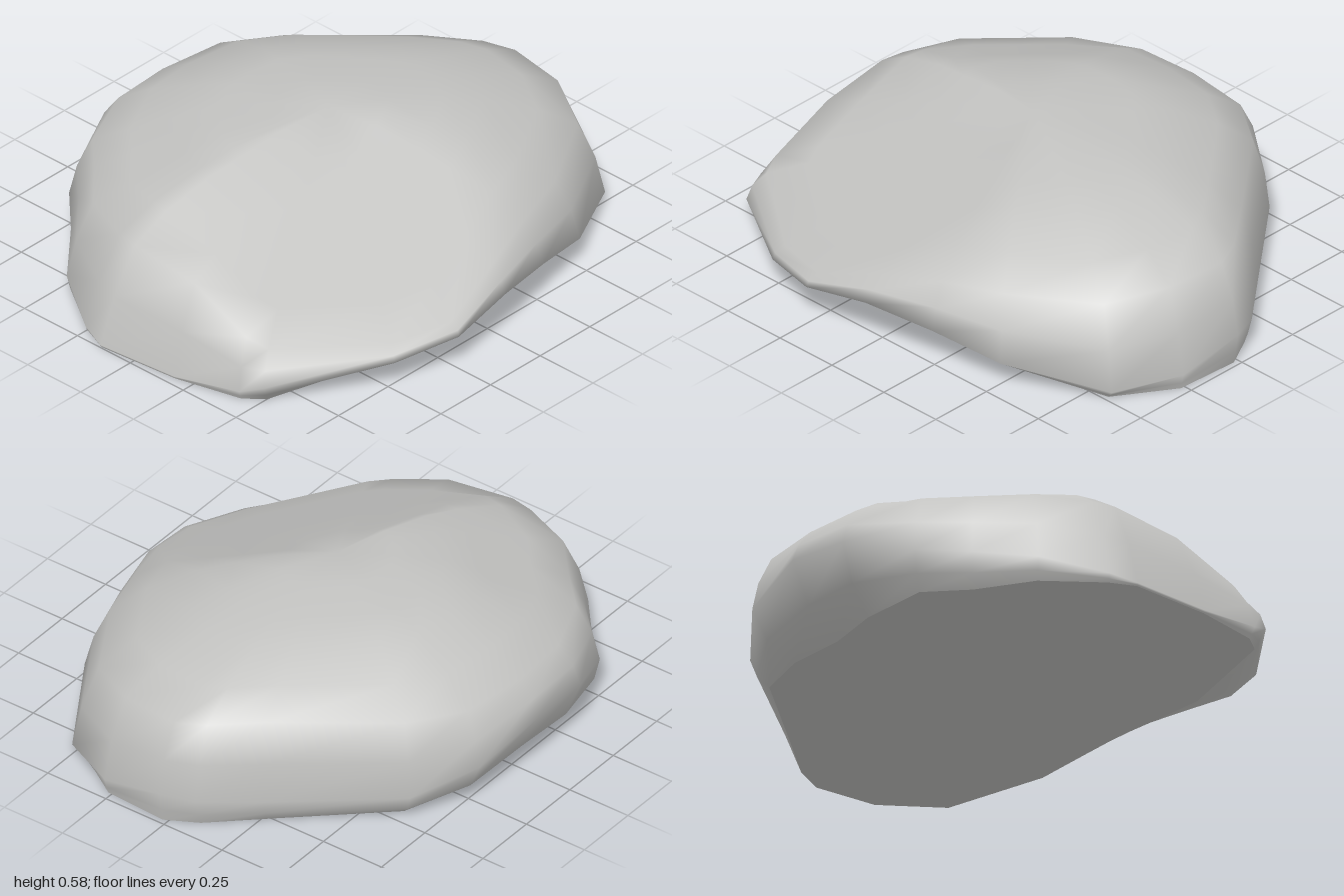
import * as THREE from 'three';

// Stations round the stone, from +x towards +z:
// [rim x, rim z, rim y, base scale, shoulder scale, shoulder y]
const FRONT = [
  [1.0, 0.02, 0.12, 0.98, 0.92, 0.38],
  [0.98, 0.27, 0.06, 0.985, 0.91, 0.37],
  [0.86, 0.5, 0.04, 0.96, 0.9, 0.34],
  [0.52, 0.7, 0.1, 0.83, 0.9, 0.33],
  [0.26, 0.77, 0.15, 0.75, 0.91, 0.31],
  [0, 0.835, 0.18, 0.69, 0.92, 0.28],
  [-0.26, 0.86, 0.14, 0.69, 0.95, 0.24],
  [-0.5, 0.78, 0.11, 0.78, 0.95, 0.23],
  [-0.88, 0.52, 0.07, 0.96, 0.93, 0.24],
  [-0.92, 0.44, 0.04, 0.98, 0.92, 0.26],
  [-0.97, 0.18, 0.01, 0.995, 0.87, 0.34],
];
const BACK = [
  [-1.0, -0.14, 0.01, 0.995, 0.85, 0.36],
  [-0.97, -0.24, 0.03, 0.985, 0.86, 0.36],
  [-0.84, -0.45, 0.08, 0.97, 0.9, 0.36],
  [-0.66, -0.6, 0.12, 0.94, 0.91, 0.37],
  [-0.52, -0.74, 0.14, 0.94, 0.91, 0.37],
  [-0.26, -0.85, 0.23, 0.83, 0.91, 0.38],
  [0, -0.865, 0.25, 0.77, 0.91, 0.38],
  [0.28, -0.82, 0.18, 0.82, 0.92, 0.38],
  [0.48, -0.67, 0.1, 0.92, 0.93, 0.38],
  [0.8, -0.28, 0.1, 0.95, 0.93, 0.4],
  [0.95, -0.1, 0.11, 0.965, 0.92, 0.39],
];
const stations = [...FRONT, ...BACK];
const TOP = 0.58;
// Dome above the shoulder: [scale, rise towards the top at the front, at the back]
const dome = [[0.84, 0.36, 0.4], [0.62, 0.67, 0.78], [0.46, 0.83, 0.9], [0.24, 0.95, 0.97]];

// Two sloping cleaved faces on the -x side, one in front and one behind
const cleave = (x, z) => Math.min(0.604 + 0.25 * x - 0.44 * z, 0.706 + 0.3 * x + 0.29 * z);

// One upright section from the base edge to the last dome ring
function section([x, z, y, base, s, sy]) {
  const back = THREE.MathUtils.smoothstep(z, -0.6, 0.2);
  const at = (k, h) => [x * k, h, z * k];
  const cut = (k, h) => at(k, Math.min(h, cleave(x * k, z * k)));
  // the undercut is rounded at the back and straight at the front
  const under = base + (1 - base) * (0.65 - 0.25 * back);
  return [
    at(base, 0), at(under, y * 0.4), at(1, y),
    at((1 + s) / 2 + 0.015, (y + Math.min(sy, cleave(x * s, z * s))) / 2), cut(s, sy),
    ...dome.map(([t, front, rear]) =>
      cut(s * t, sy + (TOP - sy) * THREE.MathUtils.lerp(rear, front, back))),
  ];
}

function geometry(points, faces) {
  const g = new THREE.BufferGeometry();
  g.setAttribute('position', new THREE.Float32BufferAttribute(points.flat(), 3));
  g.setIndex(faces);
  g.computeVertexNormals();
  return g;
}

export function createModel() {
  const group = new THREE.Group();
  group.name = 'boulder';
  const stone = new THREE.MeshStandardMaterial({ color: 0xc2c2c0 });
  stone.name = 'stone grey';

  const sections = stations.map(section);
  const n = sections.length, m = sections[0].length;

  // Smooth body skinned across the sections and closed at the top
  const points = sections.flat(), faces = [];
  points.push([0, TOP, 0]);
  for (let i = 0; i < n; i++) {
    const a = i * m, b = ((i + 1) % n) * m;
    for (let j = 0; j < m - 1; j++) {
      faces.push(a + j, a + j + 1, b + j, b + j, a + j + 1, b + j + 1);
    }
    faces.push(a + m - 1, n * m, b + m - 1);
  }
  const body = new THREE.Mesh(geometry(points, faces), stone);
  body.name = 'stoneBody';

  // Flat underside with its own normals, so the lower edge stays sharp
  const basePoints = [...sections.map((s) => s[0]), [0, 0, 0]], baseFaces = [];
  for (let i = 0; i < n; i++) baseFaces.push(n, i, (i + 1) % n);
  const underside = new THREE.Mesh(geometry(basePoints, baseFaces), stone);
  underside.name = 'flatUnderside';

  group.add(body, underside);
  return group;
}
